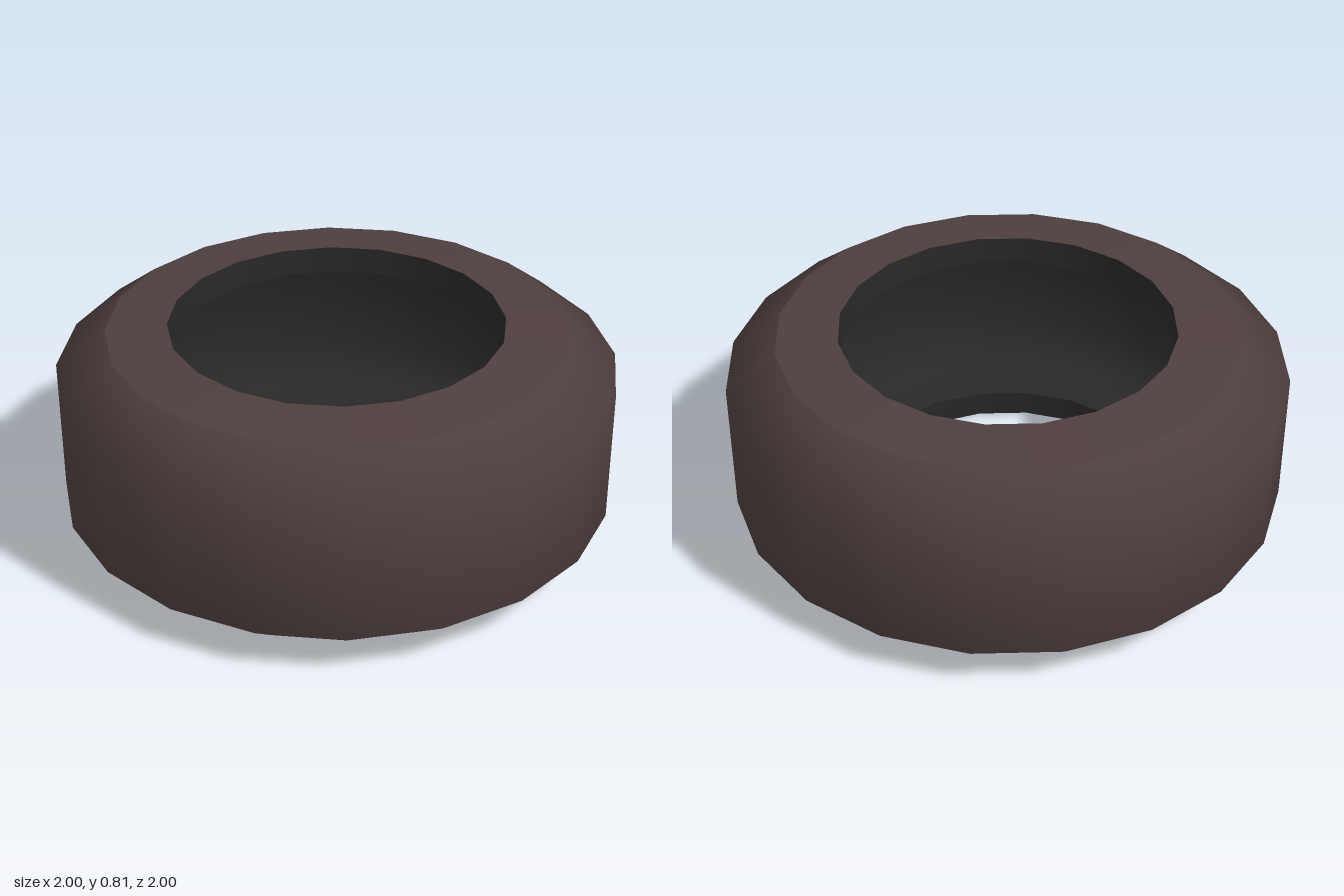
import * as THREE from 'three';

const SIDES = 20;

// Revolve a profile of [radius, height] pairs; rising profiles face outwards.
function ring(name, profile, material) {
  const points = profile.map(([r, y]) => new THREE.Vector2(r, y));
  const mesh = new THREE.Mesh(new THREE.LatheGeometry(points, SIDES), material);
  mesh.name = name;
  return mesh;
}

export function createModel() {
  const rubber = new THREE.MeshStandardMaterial({ name: 'brown rubber', color: 0x4e3f3e });
  const lining = new THREE.MeshStandardMaterial({ name: 'dark lining', color: 0x282828 });

  const tyre = new THREE.Group();
  tyre.name = 'tyre';
  tyre.add(
    // Smooth outer band with bevelled shoulders
    ring('tread', [[0.82, 0.025], [1, 0.165], [1, 0.655], [0.82, 0.79]], rubber),
    // Nearly flat sidewalls
    ring('topSidewall', [[0.82, 0.79], [0.6, 0.81]], rubber),
    ring('bottomSidewall', [[0.6, 0], [0.82, 0.025]], rubber),
    // Short upright lips around both openings
    ring('topLip', [[0.6, 0.81], [0.595, 0.71]], lining),
    ring('bottomLip', [[0.595, 0.1], [0.6, 0]], lining),
    // Hollow inside of the casing
    ring('cavity', [
      [0.595, 0.71], [0.8, 0.69], [0.92, 0.58],
      [0.92, 0.23], [0.8, 0.12], [0.595, 0.1],
    ], lining),
  );
  return tyre;
}
